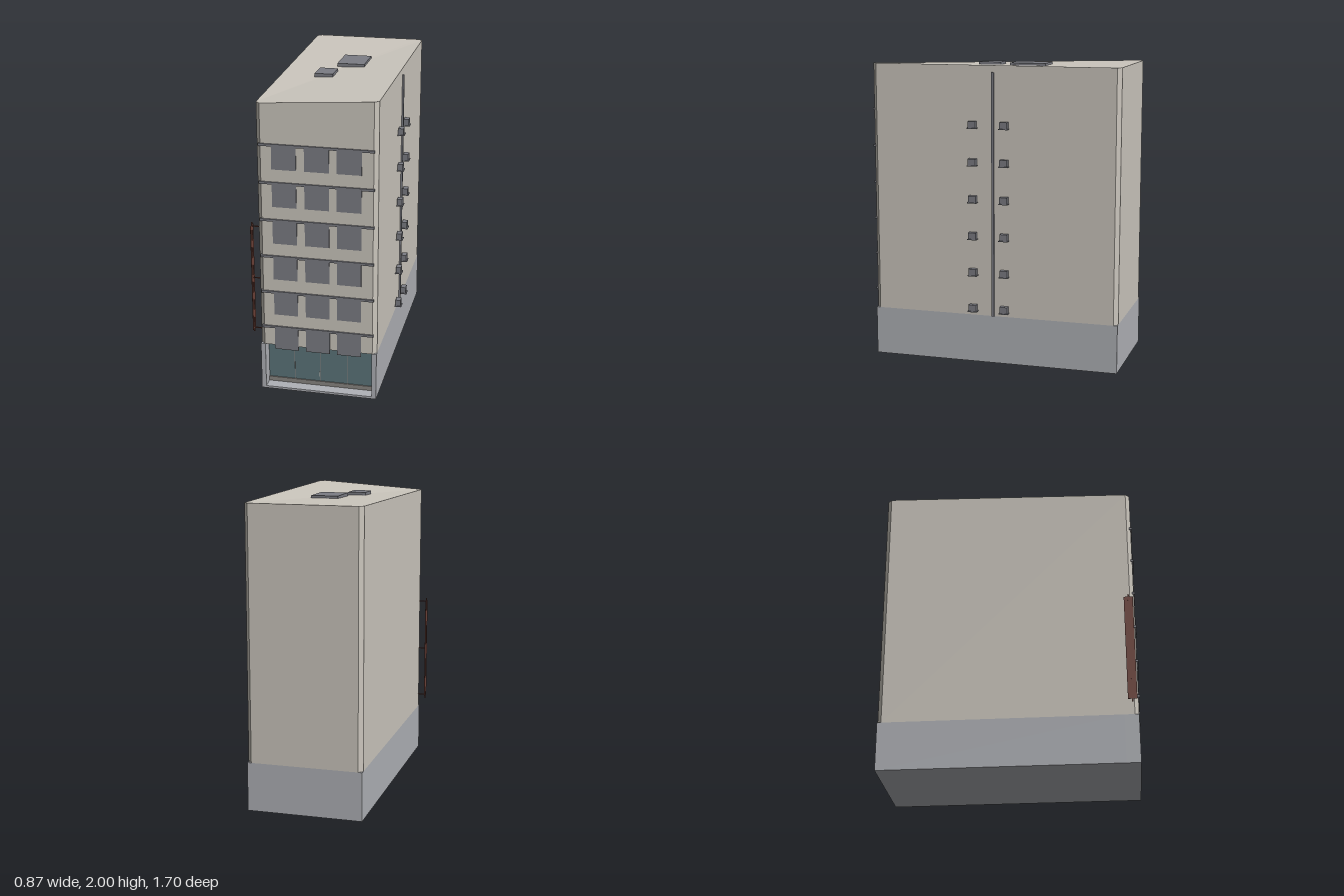
import * as THREE from 'three';

const mat = (color) => new THREE.MeshStandardMaterial({ color, flatShading: true, side: THREE.DoubleSide });
const WALL = mat(0xccc7be), BASE = mat(0xb0b2b7), DARK = mat(0x7c7d84), GLASS = mat(0x5c757a);
const SIGN = mat(0x6e4238), TRIM = mat(0x8a8682);

// Main extents of the building
const X0 = -0.38, X1 = 0.387, Z0 = -0.848, Z1 = 0.838, BASE_TOP = 0.325, CHAMFER = 0.027;

// Box given by its limits on each axis
function box(parent, name, material, x0, x1, y0, y1, z0, z1) {
  const mesh = new THREE.Mesh(new THREE.BoxGeometry(x1 - x0, y1 - y0, z1 - z0), material);
  mesh.position.set((x0 + x1) / 2, (y0 + y1) / 2, (z0 + z1) / 2);
  mesh.name = name;
  parent.add(mesh);
  return mesh;
}

// Tower with chamfered corners; the roof falls to the front corner at -x
function towerGeometry() {
  const c = CHAMFER;
  const ring = [
    [X0, Z1 - c], [X0 + c, Z1], [X1 - c, Z1], [X1, Z1 - c],
    [X1, Z0 + c], [X1 - c, Z0], [X0 + c, Z0], [X0, Z0 + c],
  ];
  const n = ring.length;
  const bottom = ring.map(([x, z]) => new THREE.Vector3(x, BASE_TOP, z));
  const top = ring.map(([x, z], i) => new THREE.Vector3(x, i < 2 ? 1.953 : 2, z));
  const points = [];
  for (let i = 0; i < n; i++) {
    const j = (i + 1) % n;
    points.push(bottom[i], bottom[j], top[j], bottom[i], top[j], top[i]);
    if (i > 0 && i < n - 1) {
      points.push(top[0], top[i], top[j], bottom[0], bottom[j], bottom[i]);
    }
  }
  const geometry = new THREE.BufferGeometry().setFromPoints(points);
  geometry.computeVertexNormals();
  return geometry;
}

// Ground floor with a recessed shop front
function addBase(parent) {
  const base = new THREE.Group();
  base.name = 'groundFloor';
  const back = 0.745, left = -0.35, right = 0.356;
  box(base, 'baseBlock', BASE, X0, X1, 0, BASE_TOP, Z0, back);
  box(base, 'shopSideWall', BASE, X0, left, 0, BASE_TOP, back, Z1);
  box(base, 'shopSideWall', BASE, right, X1, 0, BASE_TOP, back, Z1);
  box(base, 'shopFloor', BASE, left, right, 0, 0.015, back, Z1);
  box(base, 'shopSill', TRIM, left, right, 0.015, 0.045, back, back + 0.015);
  box(base, 'shopGlass', GLASS, left, right, 0.045, 0.32, back, back + 0.008);
  for (const x of [-0.175, 0, 0.178]) {
    box(base, 'shopMullion', TRIM, x - 0.0015, x + 0.0015, 0.045, 0.32, back, back + 0.011);
  }
  box(base, 'doorHandle', WALL, -0.009, -0.005, 0.08, 0.115, back, back + 0.016);
  parent.add(base);
}

// One storey: ledge with three windows, and two air conditioners on the +x side
function addStorey(parent, y) {
  const storey = new THREE.Group();
  storey.name = 'storey';
  box(storey, 'ledge', DARK, -0.366, 0.366, y - 0.008, y + 0.007, Z1 - 0.01, 0.848);
  for (const x of [-0.205, 0.003, 0.208]) {
    box(storey, 'window', DARK, x - 0.078, x + 0.078, y - 0.158, y - 0.008, Z1 - 0.01, 0.843);
  }
  for (const z of [0.134, -0.082]) {
    const top = y - 0.056;
    box(storey, 'airConditioner', DARK, X1 + 0.004, 0.425, top - 0.043, top, z - 0.026, z + 0.026);
    box(storey, 'airConditionerBracket', DARK, X1, 0.432, top - 0.048, top - 0.043, z - 0.031, z + 0.031);
  }
  parent.add(storey);
}

// Upright sign held out from the -x side on three arms
function addSign(parent) {
  const sign = new THREE.Group();
  sign.name = 'wallSign';
  box(sign, 'signPanel', SIGN, -0.434, -0.43, 0.41, 1.135, 0.77, 0.83);
  box(sign, 'signPost', SIGN, -0.436, -0.428, 0.39, 1.155, 0.796, 0.804);
  for (const y of [0.418, 0.774, 1.13]) {
    box(sign, 'signArm', SIGN, -0.432, X0, y - 0.003, y + 0.003, 0.797, 0.803);
  }
  parent.add(sign);
}

export function createModel() {
  const model = new THREE.Group();
  model.name = 'building';

  const tower = new THREE.Mesh(towerGeometry(), WALL);
  tower.name = 'tower';
  model.add(tower);

  addBase(model);
  for (let i = 0; i < 6; i++) addStorey(model, 0.456 + i * 0.247);

  // Drain pipe between the air conditioners
  box(model, 'drainPipe', DARK, X1, 0.399, BASE_TOP, 1.955, -0.01, 0.006);

  // Roof hatches
  box(model, 'largeRoofHatch', DARK, -0.06, 0.122, 1.96, 2, -0.285, -0.04);
  box(model, 'smallRoofHatch', DARK, -0.153, -0.032, 1.95, 1.993, 0.07, 0.225);

  addSign(model);
  return model;
}
